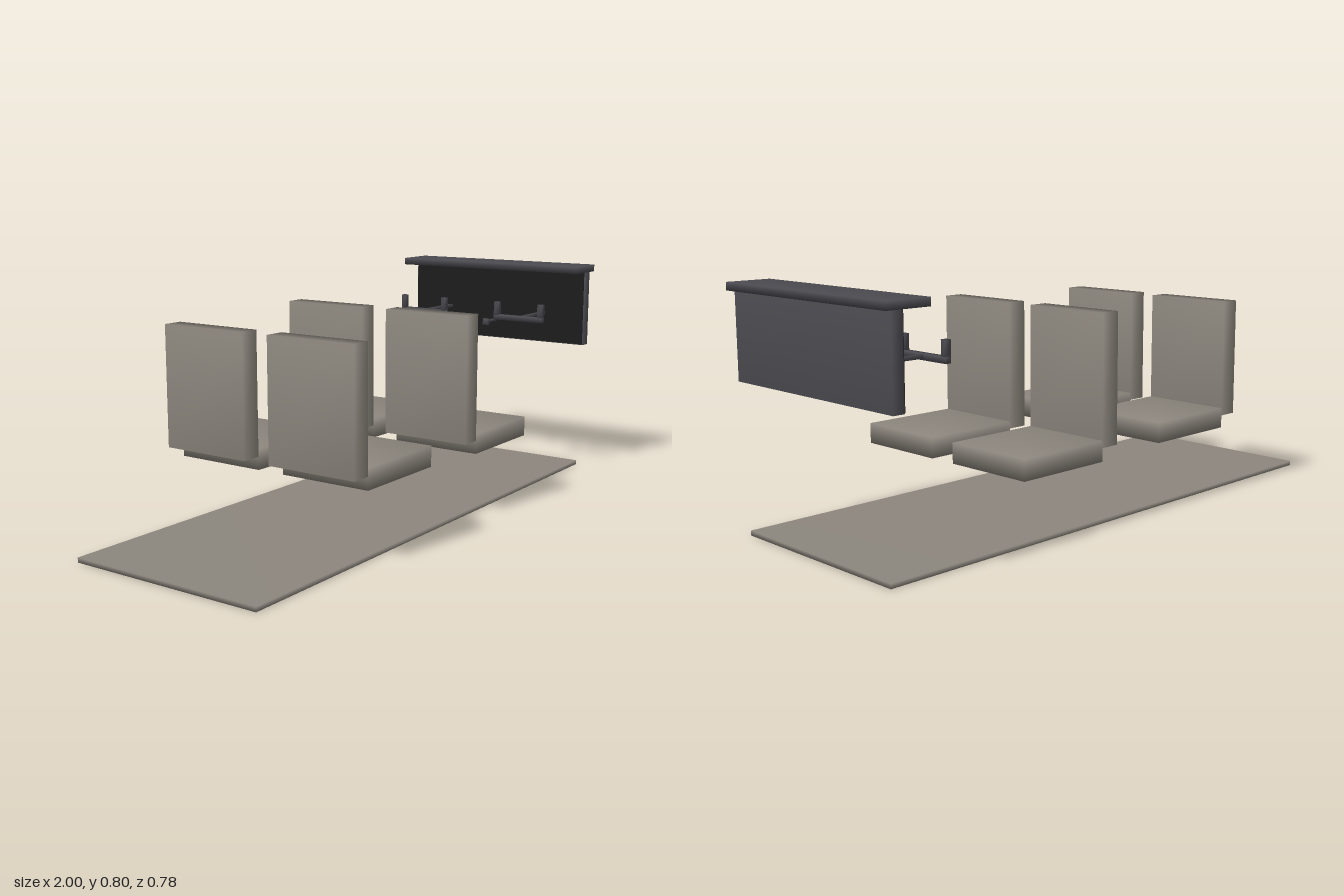
import * as THREE from 'three';
import { mergeVertices } from 'three/addons/utils/BufferGeometryUtils.js';

export function createModel() {
  const model = new THREE.Group();
  model.name = 'cockpitInterior';

  const mat = (name, color) => {
    const m = new THREE.MeshStandardMaterial({ color });
    m.name = name;
    return m;
  };
  const upholstery = mat('warmGrey', 0x8c867d);
  const panelGrey = mat('darkGrey', 0x4b4a50);
  const black = mat('instrumentBlack', 0x1c1c1c);

  // Box given by its limits, with shared corners so its normals are smooth
  const box = (parent, name, material, x, y, z) => {
    let g = new THREE.BoxGeometry(x[1] - x[0], y[1] - y[0], z[1] - z[0]);
    g.deleteAttribute('normal');
    g.deleteAttribute('uv');
    g = mergeVertices(g);
    g.computeVertexNormals();
    const mesh = new THREE.Mesh(g, material);
    mesh.name = name;
    mesh.position.set((x[0] + x[1]) / 2, (y[0] + y[1]) / 2, (z[0] + z[1]) / 2);
    parent.add(mesh);
  };
  const group = (name, z = 0) => {
    const g = new THREE.Group();
    g.name = name;
    g.position.z = z;
    model.add(g);
    return g;
  };

  // Floor
  box(model, 'floor', upholstery, [-1, 0.975], [0, 0.016], [-0.353, 0.353]);

  for (const side of [-1, 1]) {
    // Seats: front and rear rows
    const w = [-0.1625, 0.1625];
    const front = group('frontSeat', side * 0.2125);
    box(front, 'cushion', upholstery, [0.13, 0.48], [0.215, 0.284], w);
    box(front, 'backrest', upholstery, [0.06, 0.13], [0.26, 0.695], w);
    const rear = group('rearSeat', side * 0.2125);
    box(rear, 'cushion', upholstery, [-0.507, -0.155], [0.23, 0.3], w);
    box(rear, 'backrest', upholstery, [-0.577, -0.507], [0.273, 0.68], w);

    // Control yoke: column, crossbar and two upright grips
    const yoke = group('yoke', side * 0.2125);
    box(yoke, 'column', panelGrey, [0.73, 0.938], [0.6, 0.612], [-0.006, 0.006]);
    box(yoke, 'crossbar', panelGrey, [0.712, 0.732], [0.595, 0.615], [-0.103, 0.103]);
    for (const s of [-1, 1]) {
      const c = s * 0.093;
      box(yoke, 'grip', panelGrey, [0.712, 0.732], [0.612, 0.664], [c - 0.01, c + 0.01]);
    }
  }

  // Instrument panel with dark face and overhanging shield
  const dash = group('dashboard');
  box(dash, 'panel', panelGrey, [0.936, 0.976], [0.49, 0.775], [-0.382, 0.382]);
  box(dash, 'panelFace', black, [0.932, 0.936], [0.493, 0.773], [-0.379, 0.379]);
  box(dash, 'glareShield', panelGrey, [0.845, 1], [0.774, 0.8], [-0.39, 0.39]);

  // Throttle: push rod and knob
  const throttle = group('throttle');
  box(throttle, 'rod', panelGrey, [0.85, 0.936], [0.559, 0.568], [-0.005, 0.005]);
  box(throttle, 'knob', panelGrey, [0.842, 0.854], [0.551, 0.576], [-0.012, 0.012]);

  return model;
}
